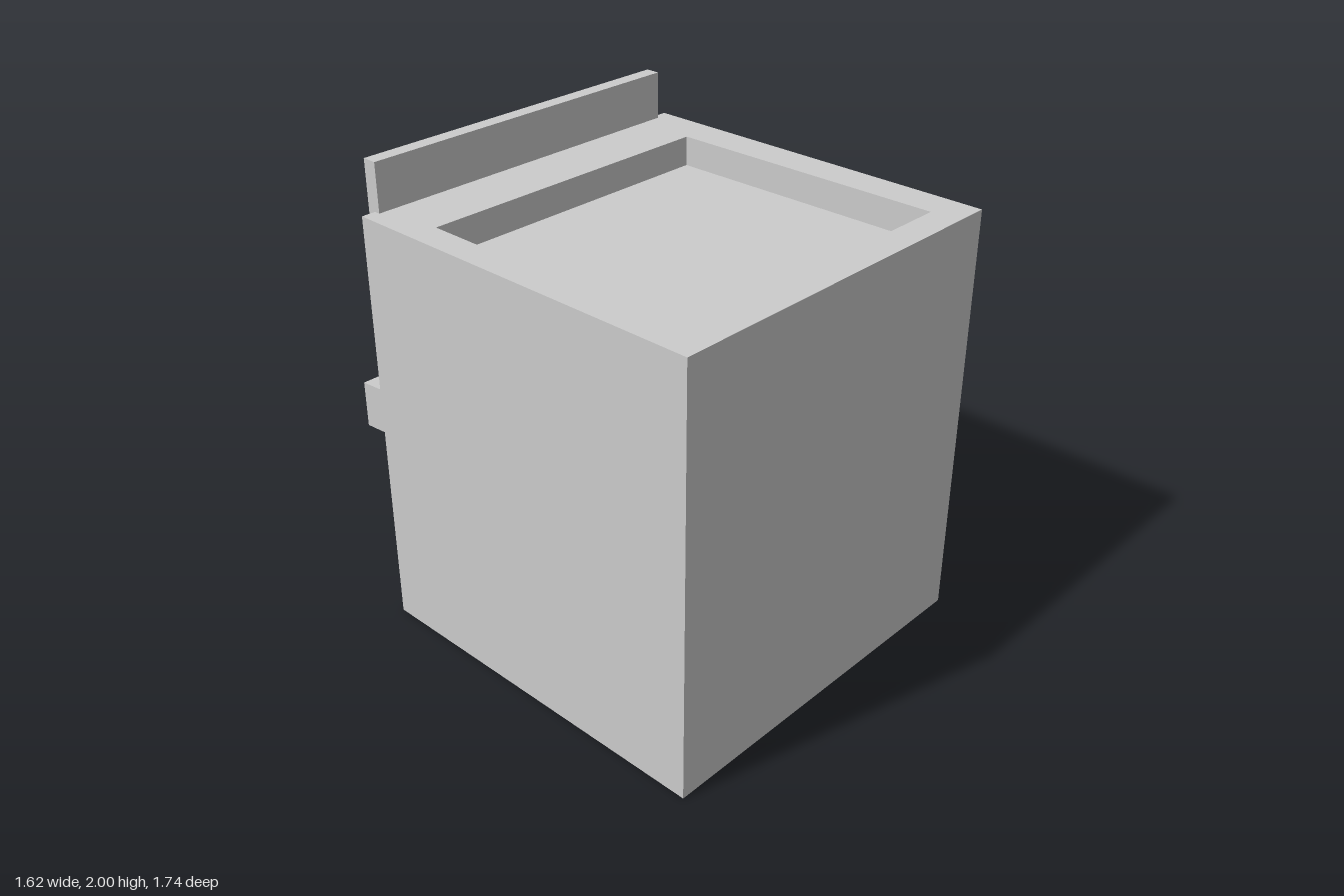
import * as THREE from 'three';

const material = new THREE.MeshStandardMaterial({ color: 0xcccccc, flatShading: true });

const HALF = 0.81, HEIGHT = 1.8, BACK = -0.75, FRONT = 0.87;
const RECESS = 0.11;          // depth of door and window openings
const ROOF_DEPTH = 0.125;     // depth of the sunken roof

const points = (list) => list.map(([x, y]) => new THREE.Vector2(x, y));

function extrude(outline, holes, depth) {
  const shape = new THREE.Shape(points(outline));
  holes.forEach((h) => shape.holes.push(new THREE.Path(points(h))));
  return new THREE.ExtrudeGeometry(shape, { depth, bevelEnabled: false });
}

const rect = (x0, y0, x1, y1) => [[x0, y0], [x1, y0], [x1, y1], [x0, y1]];

function box(x0, x1, y0, y1, z0, z1) {
  return new THREE.BoxGeometry(x1 - x0, y1 - y0, z1 - z0)
    .translate((x0 + x1) / 2, (y0 + y1) / 2, (z0 + z1) / 2);
}

export function createModel() {
  const group = new THREE.Group();
  const add = (name, geometry) => {
    const mesh = new THREE.Mesh(geometry, material);
    mesh.name = name;
    group.add(mesh);
  };

  const wallZ = BACK + RECESS;
  const roofY = HEIGHT - ROOF_DEPTH;

  // Solid core; its top is the sunken roof, its rear closes the openings
  add('buildingBody', box(-HALF, HALF, 0, roofY, wallZ, FRONT));

  // Parapet around the sunken roof
  const opening = [[-0.69, -0.47], [0.65, -0.47], [0.66, 0.745], [-0.69, 0.745]];
  add('roofParapet', extrude(rect(-HALF, wallZ, HALF, FRONT), [opening], ROOF_DEPTH)
    .rotateX(Math.PI / 2).translate(0, HEIGHT, 0));

  // Shop facade: shop window and door reach the ground, two windows above
  const facade = [
    [-HALF, 0], [-0.72, 0], [-0.72, 0.725], [0.25, 0.725], [0.25, 0],
    [0.35, 0], [0.35, 0.555], [0.7, 0.555], [0.7, 0], [HALF, 0],
    [HALF, HEIGHT], [-HALF, HEIGHT],
  ];
  const windows = [rect(-0.72, 1.2, -0.05, 1.58), rect(0.05, 1.2, 0.72, 1.58)];
  add('shopFacade', extrude(facade, windows, RECESS).translate(0, 0, BACK));

  // Slightly drooping awning, profile in z and y
  const awning = [[BACK, 0.87], [BACK, 1.065], [-0.87, 1.055], [-0.87, 0.86]];
  add('awning', extrude(awning, [], 1.6).rotateY(-Math.PI / 2).translate(0.8, 0, 0));

  // Sign board rising above the roof
  add('signBoard', box(-0.75, 0.745, 1.68, 2, -0.787, -0.725));

  return group;
}
